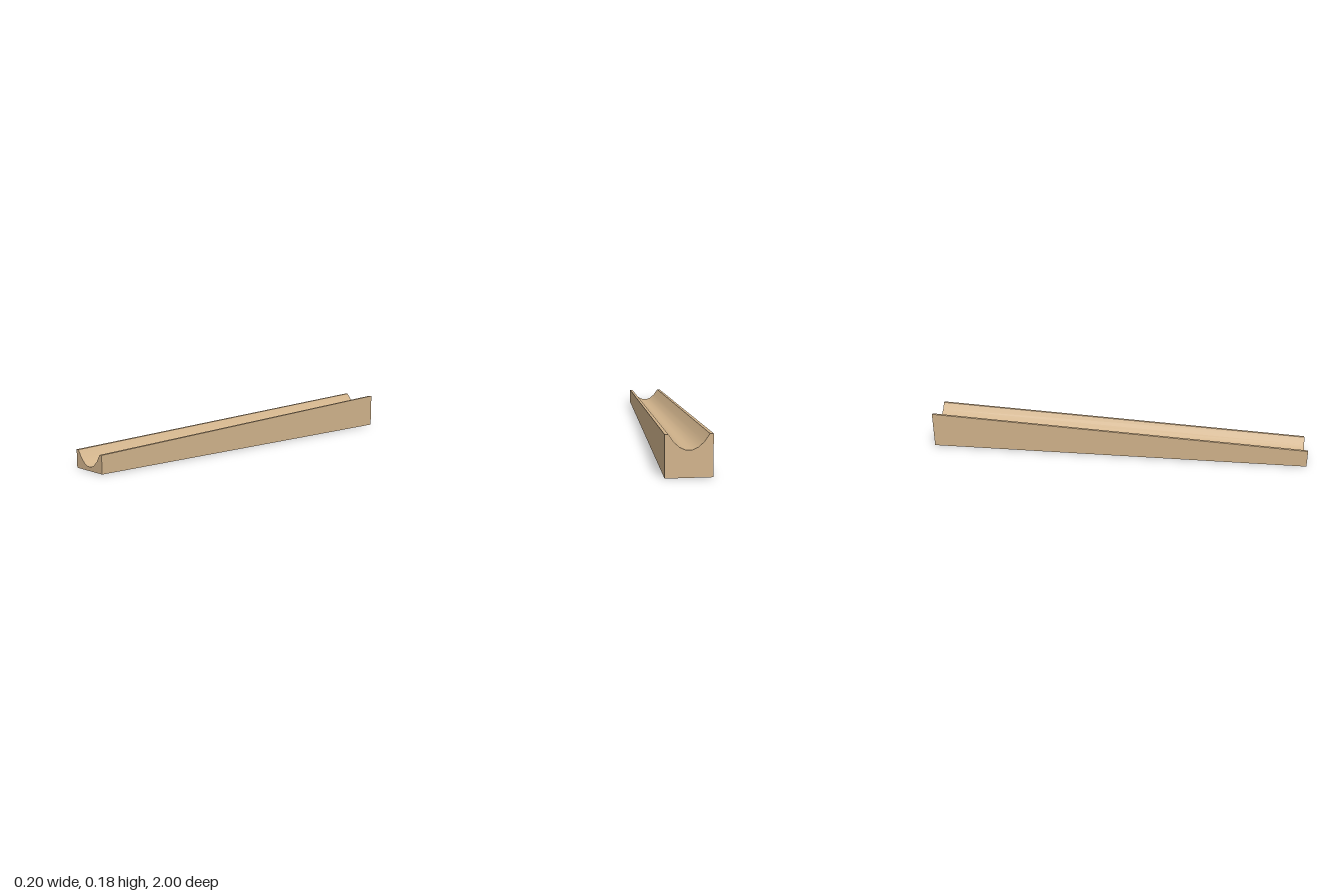
import * as THREE from 'three';
import { toCreasedNormals } from 'three/addons/utils/BufferGeometryUtils.js';

export function createModel() {
  const group = new THREE.Group();
  group.name = 'slopedChannel';
  const wood = new THREE.MeshStandardMaterial({ color: 0xd2b48c });
  wood.name = 'tan wood';

  // Cross-section at the low end: flat base, narrow rims and a faceted round groove
  const halfGroove = [[0.085, 0.085], [0.062, 0.052], [0.038, 0.03], [0.013, 0.019]];
  const mirrored = halfGroove.map(([x, y]) => [-x, y]).reverse();
  const outline = [[-0.1, 0], [0.1, 0], [0.1, 0.085], ...halfGroove, ...mirrored, [-0.1, 0.085]];
  const shape = new THREE.Shape(outline.map(([x, y]) => new THREE.Vector2(x, y)));

  const geometry = new THREE.ExtrudeGeometry(shape, { depth: 2, bevelEnabled: false });
  geometry.translate(0, 0, -1);

  // Raise everything above the base steadily towards the back
  const pos = geometry.attributes.position;
  const rise = 0.097;
  for (let i = 0; i < pos.count; i++) {
    if (pos.getY(i) > 0.001) pos.setY(i, pos.getY(i) + rise * (1 - pos.getZ(i)) / 2);
  }

  // Smooth groove with sharp rims and ends
  const ramp = new THREE.Mesh(toCreasedNormals(geometry, 0.6), wood);
  ramp.name = 'groovedRamp';
  group.add(ramp);
  return group;
}
